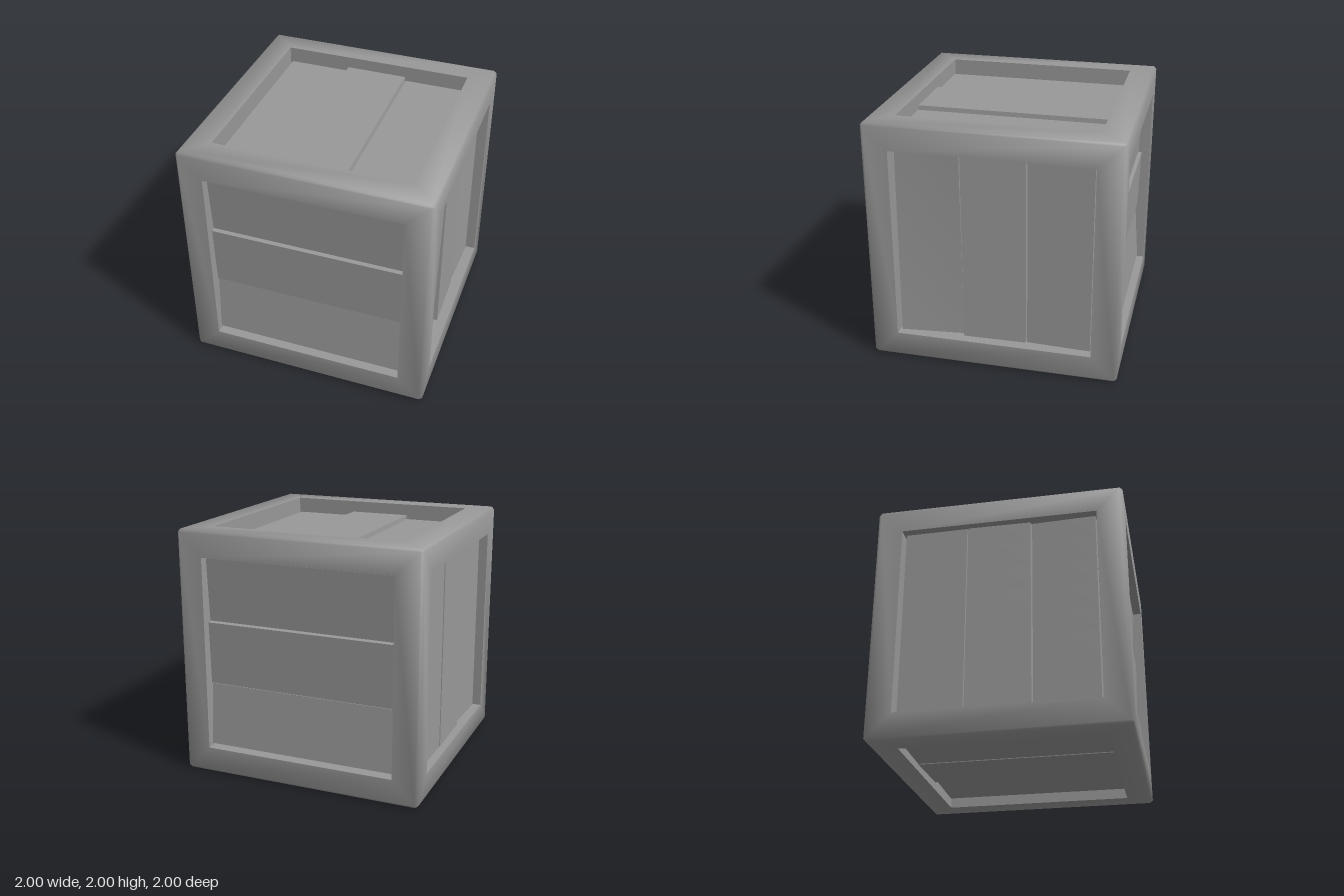
import * as THREE from 'three';
import { mergeGeometries } from 'three/addons/utils/BufferGeometryUtils.js';

const material = new THREE.MeshStandardMaterial({ color: 0x999999 });
const H = Math.PI / 2;
// rotations that carry a part facing +z onto all six sides
const SIDES = {
  front: [0, 0], left: [0, H], back: [0, Math.PI], right: [0, -H],
  top: [-H, 0], bottom: [H, 0],
};

// One quarter of one side of the frame: mitred face, half chamfer, inner wall.
function frameQuarter() {
  const inner = 0.79, a = 0.977, m = 0.9885, c = 0.985;
  const positions = [], normals = [];
  const faceN = [0, 0, 1], wallN = [0, -1, 0];
  // corner = [position, normal]
  const I = s => [[s * inner, inner, 1], faceN];
  const A = s => [[s * a, a, 1], [s * 0.37, 0.37, 0.85]];
  const M = s => [[s * a, m, m], [s * 0.37, 0.61, 0.61]];
  const C = s => [[s * c, c, c], [s * 0.577, 0.577, 0.577]];
  const W = (s, z) => [[s * inner, inner, z], wallN];
  const tri = (...corners) => corners.forEach(([p, n]) => {
    positions.push(...p);
    normals.push(...n);
  });
  const quad = (p, q, r, s) => { tri(p, q, r); tri(p, r, s); };
  quad(I(-1), I(1), A(1), A(-1));
  quad(A(-1), A(1), M(1), M(-1));
  tri(A(1), C(1), M(1));
  tri(A(-1), M(-1), C(-1));
  quad(W(-1, 1), W(-1, inner), W(1, inner), W(1, 1));
  const geometry = new THREE.BufferGeometry();
  geometry.setAttribute('position', new THREE.Float32BufferAttribute(positions, 3));
  geometry.setAttribute('normal', new THREE.Float32BufferAttribute(normals, 3));
  return geometry;
}

// Cube frame with soft chamfered outer edges.
function frame() {
  const parts = [];
  for (const [rx, ry] of Object.values(SIDES)) {
    for (let k = 0; k < 4; k++) {
      const turn = new THREE.Matrix4().makeRotationFromEuler(new THREE.Euler(rx, ry, k * H));
      parts.push(frameQuarter().applyMatrix4(turn));
    }
  }
  const mesh = new THREE.Mesh(mergeGeometries(parts), material);
  mesh.name = 'frame';
  return mesh;
}

// Plank along x from y0 to y1; its recess runs from d0 to d1, with optional twist.
// The long sides taper slightly towards the face, which leaves dark seams.
function plank(y0, y1, d0, d1, twist = 0) {
  const thickness = 0.055, taper = 0.006;
  const mid = (y0 + y1) / 2;
  const geometry = new THREE.BoxGeometry(1.62, y1 - y0, thickness, 8, 2, 1);
  geometry.translate(0, mid, 1 - thickness / 2);
  const p = geometry.attributes.position;
  for (let i = 0; i < p.count; i++) {
    const y = p.getY(i), z = p.getZ(i);
    const t = (y - y0) / (y1 - y0);
    const depth = d0 + (d1 - d0) * t + twist * p.getX(i) * (t - 0.5);
    if (z > 0.99) p.setY(i, y - taper * (2 * t - 1));
    p.setZ(i, z - depth);
  }
  geometry.computeVertexNormals();
  const mesh = new THREE.Mesh(geometry, material);
  mesh.name = 'plank';
  return mesh;
}

// Three planks, each given as [recess at low edge, recess at high edge, twist].
function panel(side, upright, recesses) {
  const group = new THREE.Group();
  group.name = side + 'Panel';
  const spans = [[-0.778, -0.257], [-0.26, 0.26], [0.257, 0.778]];
  recesses.forEach((r, i) => group.add(plank(...spans[i], ...r)));
  const [rx, ry] = SIDES[side];
  group.rotation.set(rx, ry, upright ? H : 0);
  return group;
}

export function createModel() {
  const model = new THREE.Group();
  model.name = 'crate';
  const crate = new THREE.Group();
  crate.position.y = 1;
  crate.add(frame());

  // clapboard-like horizontal planks
  const horizontal = [[0.06, 0.1], [0.085, 0.07], [0.1, 0.07]];
  crate.add(panel('front', false, horizontal), panel('back', false, horizontal));

  // upright planks, one of them warped
  crate.add(panel('left', true, [[0.08, 0.1], [0.09, 0.08], [0.1, 0.08, 0.04]]));
  crate.add(panel('right', true, [[0.07, 0.09], [0.065, 0.06], [0.065, 0.07]]));

  // lid with a raised middle plank, and a shallower floor
  crate.add(panel('top', true, [[0.13, 0.13], [0.095, 0.095], [0.13, 0.13]]));
  crate.add(panel('bottom', true, [[0.08, 0.095], [0.068, 0.055], [0.058, 0.072]]));

  model.add(crate);
  return model;
}
